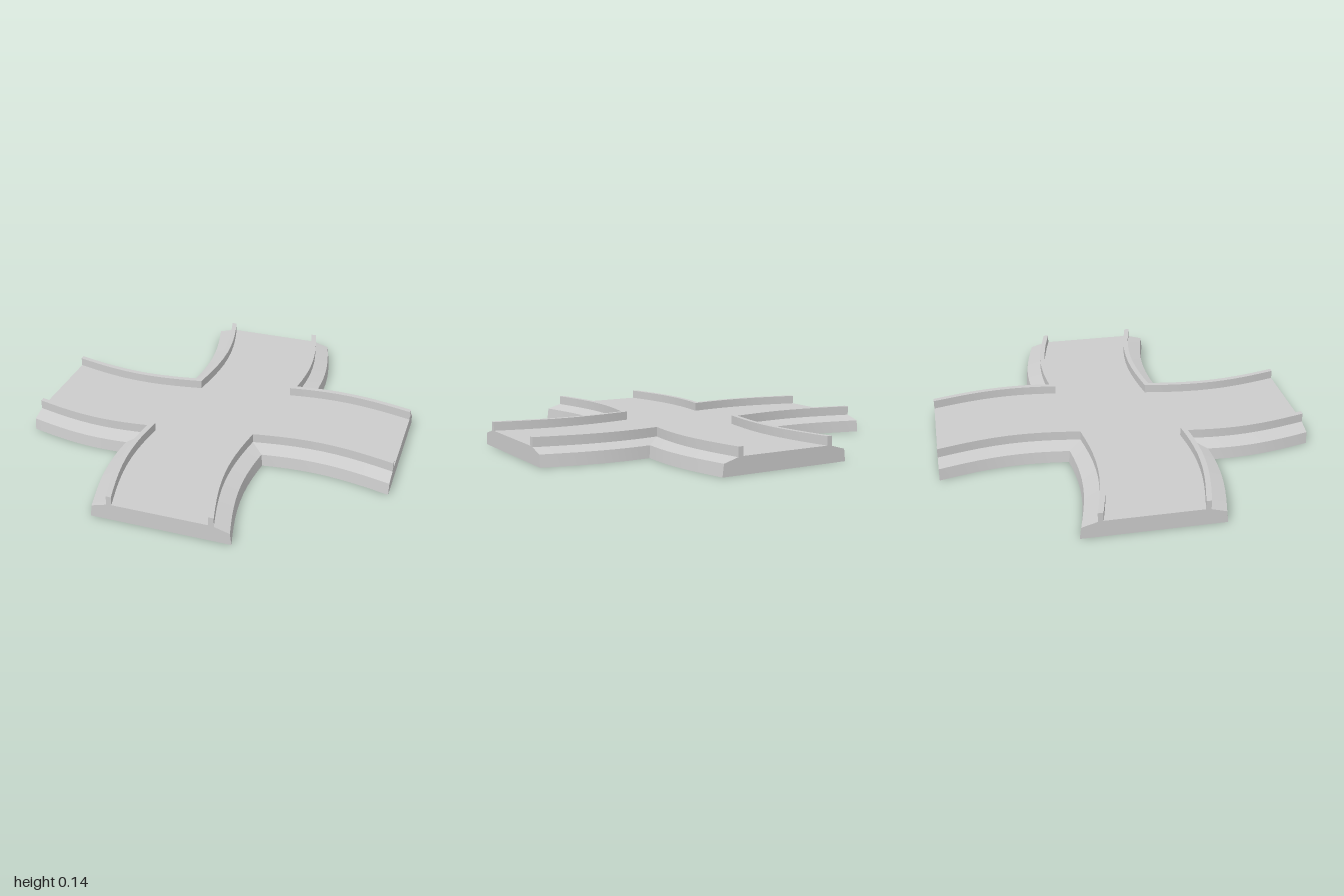
import * as THREE from 'three';

const SEGMENTS = 10;
// Cross-section from the deck edge outward: [distance from lane centre, height]
const PROFILE = [[0.25, 0.09], [0.25, 0.137], [0.278, 0.137], [0.278, 0.087], [0.358, 0.064], [0.366, 0]];
const material = new THREE.MeshStandardMaterial({ color: 0xcccccc, side: THREE.DoubleSide });

// Sideways sway of each arm, t running from the centre to the tip
const sway = (t) => 0.07 * Math.sin(Math.PI * Math.pow(t, 1.16));

// One leg of a quadrant edge, tip to inner corner, as [along, across] pairs
function leg(d, sign) {
  let corner = d;
  for (let i = 0; i < 30; i++) corner = d + sign * sway(corner);
  return Array.from({ length: SEGMENTS + 1 }, (_, i) => {
    if (i === SEGMENTS) return [corner, corner];
    const t = 1 + (corner - 1) * i / SEGMENTS;
    return [t, d + sign * sway(t)];
  });
}

// Both legs: in along +x, then out along +z
function legs(d, sign) {
  const a = leg(d, sign);
  return [a, a.map(([u, v]) => [v, u]).reverse()];
}

// Ruled surface between two neighbouring profile points along one leg
function strip(inner, yInner, outer, yOuter) {
  const positions = [], index = [], n = inner.length;
  inner.forEach(([x, z]) => positions.push(x, yInner, z));
  outer.forEach(([x, z]) => positions.push(x, yOuter, z));
  for (let i = 0; i < n - 1; i++) {
    index.push(i, i + 1, n + i, i + 1, n + i + 1, n + i);
  }
  const g = new THREE.BufferGeometry();
  g.setAttribute('position', new THREE.Float32BufferAttribute(positions, 3));
  g.setIndex(index);
  g.computeVertexNormals();
  return g;
}

function addMesh(parent, geometry, name) {
  const mesh = new THREE.Mesh(geometry, material);
  mesh.name = name;
  parent.add(mesh);
  return mesh;
}

export function createModel() {
  const model = new THREE.Group();
  model.name = 'crossroadsTile';
  const names = ['railInside', 'railTop', 'railOutside', 'slopedShoulder', 'skirt'];
  const deckOutline = [];

  for (let k = 0; k < 4; k++) {
    const sign = k % 2 ? 1 : -1;

    // Rail, shoulder and skirt around one corner
    const edge = new THREE.Group();
    edge.name = 'cornerEdge' + (k + 1);
    edge.rotation.y = -k * Math.PI / 2;
    const paths = PROFILE.map(([d]) => legs(d, sign));
    names.forEach((name, j) => {
      for (let side = 0; side < 2; side++) {
        addMesh(edge, strip(paths[j][side], PROFILE[j][1], paths[j + 1][side], PROFILE[j + 1][1]), name);
      }
    });
    model.add(edge);

    // Deck border of this corner, turned into place
    const [a, b] = paths[0];
    for (const [x, z] of [...a, ...b.slice(1)]) {
      const p = new THREE.Vector2(x, z).rotateAround(new THREE.Vector2(), k * Math.PI / 2);
      deckOutline.push(new THREE.Vector2(p.x, -p.y));
    }

    // Flat wall closing the tip of an arm
    const right = PROFILE.map(([d, y]) => new THREE.Vector2(d, y));
    const left = PROFILE.map(([d, y]) => new THREE.Vector2(-d, y)).reverse();
    const wall = new THREE.ShapeGeometry(new THREE.Shape([...left, ...right]));
    wall.translate(0, 0, 1);
    addMesh(model, wall, 'endWall' + (k + 1)).rotation.y = k * Math.PI / 2;
  }

  // Road deck, open underneath
  const deck = new THREE.ShapeGeometry(new THREE.Shape(deckOutline));
  deck.rotateX(-Math.PI / 2);
  deck.translate(0, PROFILE[0][1], 0);
  addMesh(model, deck, 'deck');
  return model;
}
